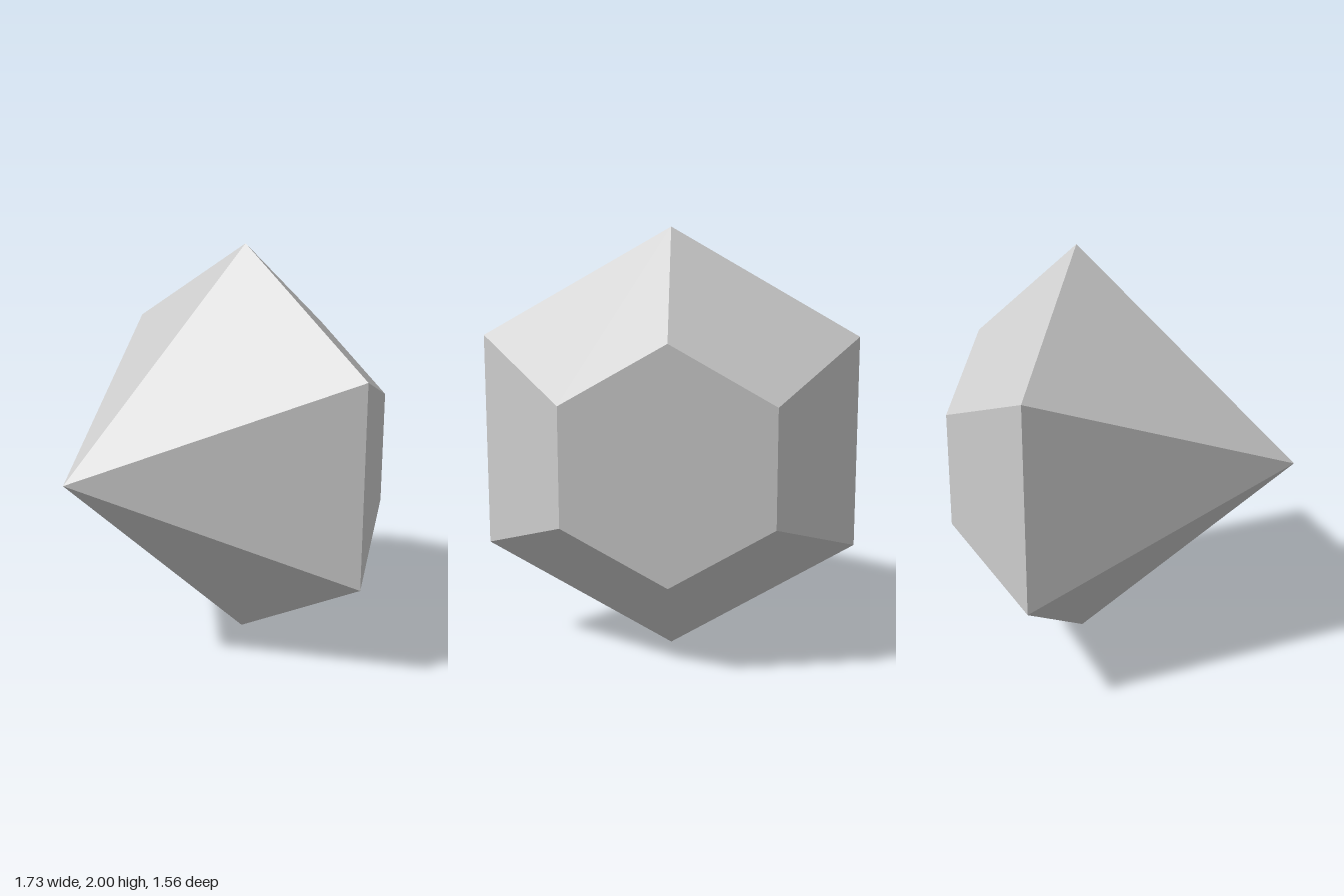
import * as THREE from 'three';

const SIDES = 6;
const GIRDLE = 1, TABLE = 0.55;              // radii of the widest ring and the flat back
const TIP_Z = 0.78, GIRDLE_Z = -0.28, BACK_Z = -0.78;

export function createModel() {
  const gem = new THREE.Group();
  gem.name = 'gem';
  const stone = new THREE.MeshStandardMaterial({ color: 0xcccccc });
  stone.name = 'pale grey stone';
  stone.flatShading = true;

  const add = (name, geometry, z) => {
    const mesh = new THREE.Mesh(geometry, stone);
    mesh.name = name;
    mesh.position.set(0, 1, z);
    gem.add(mesh);
  };

  // Open six-sided ring of facets, lying along z
  const facets = (name, backRadius, frontRadius, backZ, frontZ) => {
    const geometry = new THREE.CylinderGeometry(backRadius, frontRadius, frontZ - backZ, SIDES, 1, true);
    add(name, geometry.rotateX(-Math.PI / 2), (frontZ + backZ) / 2);
  };

  // Pointed front and tapering back
  facets('pointedFront', GIRDLE, 0, GIRDLE_Z, TIP_Z);
  facets('taperedBack', TABLE, GIRDLE, BACK_Z, GIRDLE_Z);

  // Flat hexagon closing the back
  add('flatBack', new THREE.CircleGeometry(TABLE, SIDES, Math.PI / 2).rotateY(Math.PI), BACK_Z);

  return gem;
}
